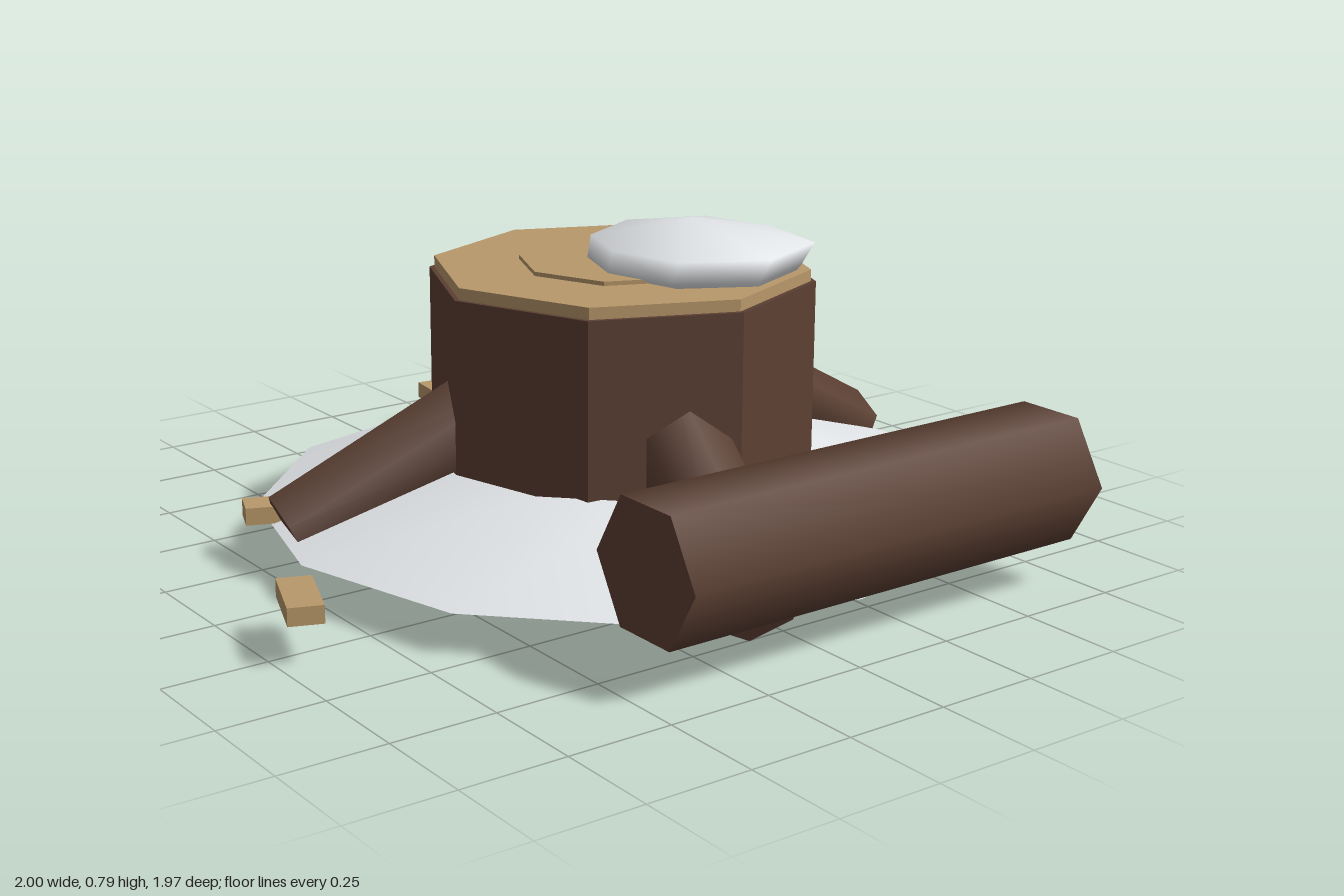
import * as THREE from 'three';
import { mergeVertices } from 'three/addons/utils/BufferGeometryUtils.js';

const CZ = -0.105; // stump axis in z

export function createModel() {
  const model = new THREE.Group();
  const bark = new THREE.MeshStandardMaterial({ color: 0x5c4033 });
  bark.name = 'bark';
  const wood = new THREE.MeshStandardMaterial({ color: 0xb8986a });
  wood.name = 'cutWood';
  const snow = new THREE.MeshStandardMaterial({ color: 0xeef1f4, side: THREE.DoubleSide });
  snow.name = 'snow';

  function add(name, geometry, material, x, y, z) {
    const mesh = new THREE.Mesh(geometry, material);
    mesh.name = name;
    mesh.position.set(x, y, z);
    model.add(mesh);
    return mesh;
  }

  // Eight-sided prism with flat faces, standing on the stump axis
  function octagon(name, radius, y0, y1, material) {
    const g = new THREE.CylinderGeometry(radius, radius, y1 - y0, 8).toNonIndexed();
    g.computeVertexNormals();
    add(name, g, material, 0, (y0 + y1) / 2, CZ);
  }
  octagon('stump', 0.468, 0.1, 0.652, bark);
  octagon('cutTop', 0.456, 0.652, 0.68, wood);
  octagon('growthRing', 0.247, 0.68, 0.69, wood);

  // Snow drift sloping away from the stump
  add('snowDrift', new THREE.CylinderGeometry(0.472, 0.885, 0.135, 12, 1, true), snow, 0, 0.1675, CZ);

  // Roots: six-sided, sloping down and outward
  const up = new THREE.Vector3(0, 1, 0);
  [-14.5, 75, 186.5, 264].forEach((degrees, i) => {
    const pivot = new THREE.Group();
    pivot.name = 'root' + (i + 1);
    pivot.position.z = CZ;
    pivot.rotation.y = THREE.MathUtils.degToRad(degrees);
    const inner = new THREE.Vector3(0, 0.38, 0.28);
    const outer = new THREE.Vector3(0, 0.1, 0.828);
    const axis = inner.clone().sub(outer);
    const root = new THREE.Mesh(new THREE.CylinderGeometry(0.118, 0.105, axis.length(), 6), bark);
    root.name = 'root';
    root.position.copy(inner).add(outer).multiplyScalar(0.5);
    root.quaternion.setFromUnitVectors(up, axis.normalize());
    pivot.add(root);
    model.add(pivot);
  });

  // Fallen log lying along z, with corners pointing sideways
  const log = new THREE.CylinderGeometry(0.167, 0.167, 1.16, 6);
  log.rotateY(Math.PI / 6).rotateX(Math.PI / 2);
  add('log', log, bark, 0.833, 0.264, -0.137);

  // Snow cap: a flattened, uneven dome leaning over the rim
  const radii = [0.262, 0.245, 0.235, 0.266, 0.29, 0.288, 0.24, 0.264];
  const rings = [[0.8, 0, 0], [0.75, 1, 0], [0.69, 0.96, -0.03], [0.662, 0.75, 0.02], [0.655, 0, 0]];
  let cap = new THREE.SphereGeometry(1, 8, 4);
  const p = cap.attributes.position;
  for (let row = 0; row < 5; row++) {
    for (let col = 0; col <= 8; col++) {
      const [y, scale, shift] = rings[row];
      const a = (col % 8) * Math.PI / 4;
      const r = radii[col % 8] * scale;
      p.setXYZ(row * 9 + col, shift - Math.cos(a) * r, y, Math.sin(a) * r);
    }
  }
  cap.deleteAttribute('uv');
  cap.deleteAttribute('normal');
  cap = mergeVertices(cap);
  cap.computeVertexNormals();
  add('snowCap', cap, snow, 0.14, 0, -0.215);

  // Wood chips scattered around: x, z, turn
  const chips = [[0.242, 0.915, -0.36], [-0.31, 0.66, 1.2], [-0.905, -0.168, -0.13], [-0.785, -0.325, 1.55]];
  chips.forEach(([x, z, turn], i) => {
    const chip = add('woodChip' + (i + 1), new THREE.BoxGeometry(0.183, 0.042, 0.08), wood, x, 0.123, z);
    chip.rotation.y = turn;
  });

  return model;
}
